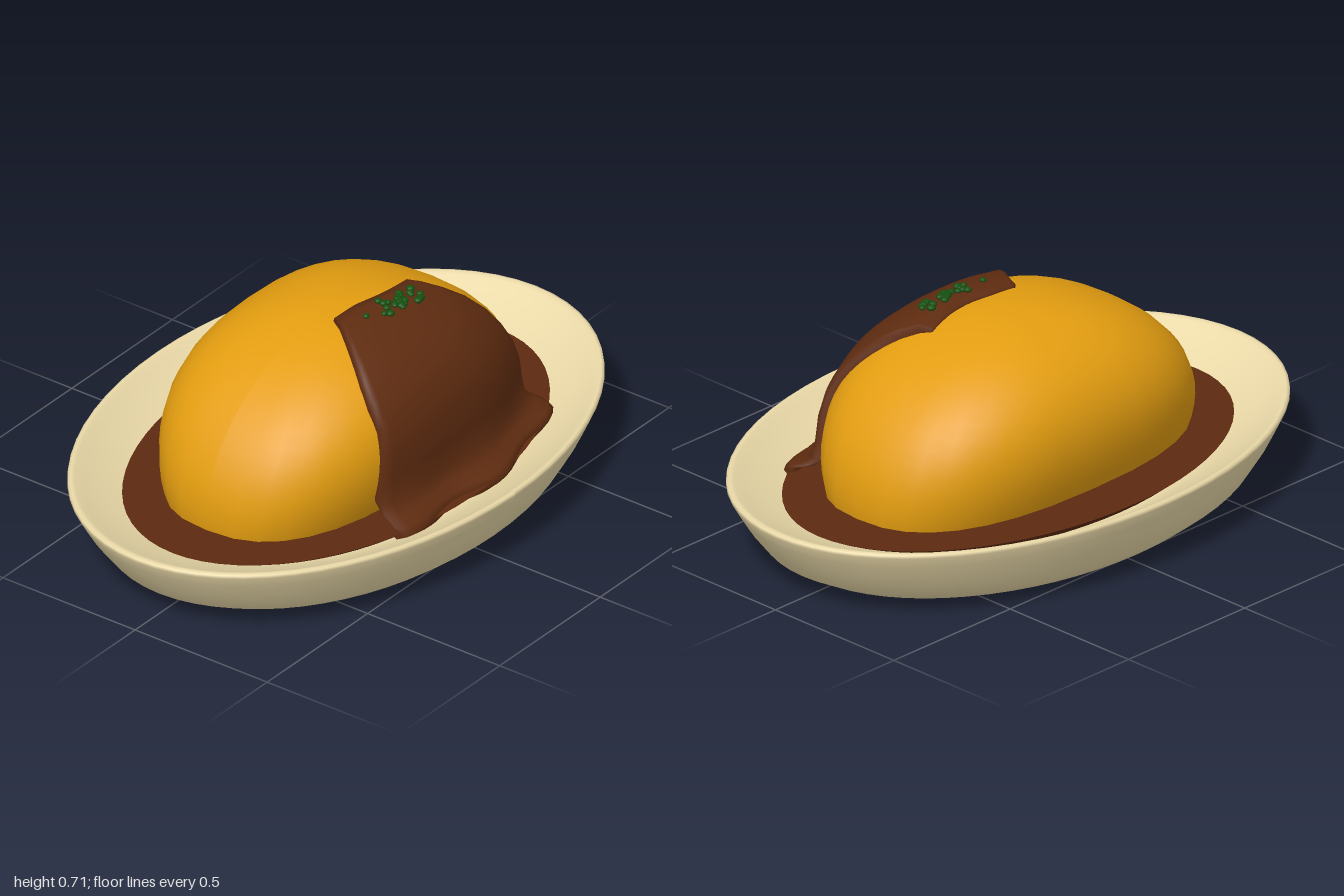
import * as THREE from 'three';

const mat = (color, side = THREE.FrontSide) =>
  new THREE.MeshStandardMaterial({ color, side, roughness: 0.8 });
const BASE = 0.22, HEIGHT = 0.465, HALF_X = 0.65, HALF_Z = 0.42, POWER = 2.5;
const bulge = t => HALF_Z * (0.89 + 0.4 * t);

// Point on the front of the omelette at x, swept from foot (0 deg) to crest (90 deg)
function omeletteFront(x, degrees) {
  const u = Math.abs(x) / HALF_X;
  const t = Math.sqrt(1 - u * u) * Math.sin(THREE.MathUtils.degToRad(degrees));
  const r = Math.sqrt(1 - t * t);
  const w = Math.max(r ** POWER - u ** POWER, 0) ** (1 / POWER);
  return new THREE.Vector3(x, BASE + HEIGHT * t, bulge(t) * w);
}

// Moves a point outward from the body of the omelette
function pushOut(p, d) {
  const n = new THREE.Vector3(p.x * 0.4, p.y - 0.25, p.z * 0.8).normalize();
  return p.addScaledVector(n, d);
}

function named(name, geometry, material) {
  const mesh = new THREE.Mesh(geometry, material);
  mesh.name = name;
  return mesh;
}

function makePlate() {
  const profile = [
    [0, 0], [0.64, 0], [0.7, 0.006], [0.8, 0.025], [0.88, 0.07], [0.94, 0.145], [0.975, 0.2],
    [0.998, 0.238], [0.996, 0.248], [0.985, 0.252], [0.97, 0.248], [0.94, 0.232],
    [0.88, 0.205], [0.81, 0.178], [0.7, 0.14], [0, 0.12],
  ].map(([x, y]) => new THREE.Vector2(x, y));
  const geo = new THREE.LatheGeometry(profile, 64);
  geo.scale(1, 1, 0.68);
  geo.computeVertexNormals();
  return named('plate', geo, mat(0xead9a8));
}

function makeSaucePool() {
  const geo = new THREE.CylinderGeometry(0.815, 0.74, 0.04, 64);
  geo.scale(1, 1, 0.64);
  geo.translate(0, 0.162, 0);
  return named('saucePool', geo, mat(0x5c2a10));
}

function makeOmelette() {
  const geo = new THREE.SphereGeometry(1, 32, 20, 0, Math.PI * 2, 0, Math.PI * 0.58);
  const pos = geo.attributes.position;
  const square = v => Math.sign(v) * Math.abs(v) ** (2 / POWER);
  for (let i = 0; i < pos.count; i++) {
    const t = pos.getY(i);
    const r = Math.sqrt(Math.max(1 - t * t, 1e-9));
    pos.setXYZ(i,
      HALF_X * r * square(pos.getX(i) / r),
      BASE + HEIGHT * t,
      bulge(t) * r * square(pos.getZ(i) / r));
  }
  geo.computeVertexNormals();
  return named('omelette', geo, mat(0xe39d10));
}

// Thick sauce running over the front and spreading at its foot
function makeSauceDrape() {
  // sweep angle, left x, right x, thickness, flare forward, drop
  const rows = [
    [84, -0.10, 0.25, -0.012, 0, 0],
    [84, -0.10, 0.25, 0.012, 0, 0],
    [80, -0.12, 0.27, 0.022, 0, 0],
    [74, -0.16, 0.31, 0.025, 0, 0],
    [67, -0.20, 0.36, 0.025, 0, 0],
    [58, -0.24, 0.40, 0.025, 0, 0],
    [48, -0.265, 0.43, 0.025, 0, 0],
    [37, -0.27, 0.46, 0.025, 0, 0],
    [25, -0.28, 0.485, 0.025, 0, 0],
    [13, -0.285, 0.50, 0.027, 0, 0],
    [4, -0.29, 0.51, 0.03, 0.012, 0.005],
    [1, -0.30, 0.53, 0.03, 0.05, 0.012],
    [0, -0.31, 0.545, 0.03, 0.09, 0.02],
    [0, -0.31, 0.55, 0.03, 0.105, 0.035],
    [0, -0.31, 0.55, 0.03, 0.10, 0.06],
  ];
  const cols = [0, 0, 0.02];
  for (let i = 1; i < 20; i++) cols.push(i / 20);
  cols.push(0.98, 1, 1);
  const last = cols.length - 1;

  const geo = new THREE.PlaneGeometry(1, 1, last, rows.length - 1);
  const pos = geo.attributes.position;
  rows.forEach(([angle, left, right, thick, flare, drop], j) => {
    cols.forEach((u, i) => {
      const x = THREE.MathUtils.lerp(left, right, u);
      const dip = j < 4 ? (4 - j) * 0.8 * Math.sin(Math.PI * u) : 0;
      const p = omeletteFront(x, angle - dip);
      const rim = Math.min(i, last - i);
      const d = rim === 0 ? -0.012 : rim === 1 ? Math.min(thick, 0.014) : thick;
      pushOut(p, d);
      p.z += flare * (1 + 0.18 * Math.sin(u * 14 + 0.6));
      p.y -= drop;
      pos.setXYZ(j * cols.length + i, p.x, p.y, p.z);
    });
  });
  geo.computeVertexNormals();
  return named('sauceDrape', geo, mat(0x5f2c10, THREE.DoubleSide));
}

// Chopped herbs scattered on the crest of the sauce
function makeHerbs() {
  const group = new THREE.Group();
  group.name = 'herbs';
  let seed = 7;
  const rand = () => (seed = (seed * 16807) % 2147483647) / 2147483647;
  const geo = new THREE.IcosahedronGeometry(0.012, 1);
  const green = mat(0x14500f);
  for (let i = 0; i < 32; i++) {
    const x = 0.08 + (rand() + rand() - 1) * 0.13;
    const leaf = named('herb', geo, green);
    leaf.position.copy(pushOut(omeletteFront(x, 71 + rand() * 7), 0.029));
    leaf.scale.set(1, 0.7, 1).multiplyScalar(0.8 + rand() * 0.4);
    group.add(leaf);
  }
  return group;
}

export function createModel() {
  const model = new THREE.Group();
  model.name = 'omeletteOnPlate';
  model.add(makePlate(), makeSaucePool(), makeOmelette(), makeSauceDrape(), makeHerbs());
  return model;
}
